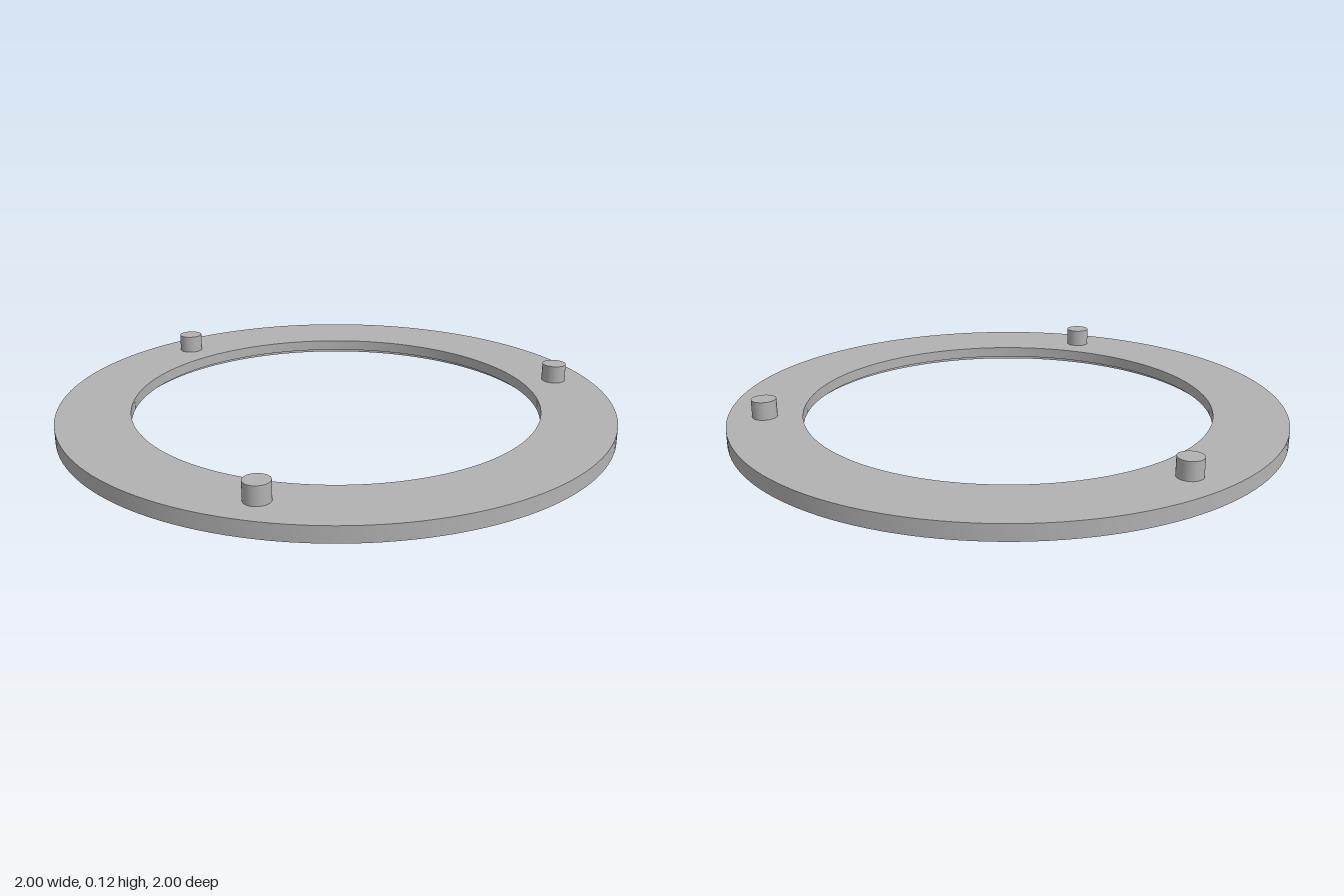
import * as THREE from 'three';
import { toCreasedNormals } from 'three/addons/utils/BufferGeometryUtils.js';

export function createModel() {
  const model = new THREE.Group();
  model.name = 'groovedRing';
  const grey = new THREE.MeshStandardMaterial({ color: 0xb2b2b2 });
  grey.name = 'grey';

  const inner = 0.738, outer = 1, height = 0.055;
  const grooves = 6, pitch = 0.036, width = 0.022, depth = 0.015;

  // Cross-section: underside from the hole outwards, then up and back over the top
  const profile = [[inner, depth]];
  for (let i = 0; i < grooves; i++) {
    const edge = 0.76 + i * pitch;
    if (i > 0) profile.push([edge - width, 0], [edge - width, depth]);
    profile.push([edge, depth], [edge, 0]);
  }
  profile.push([outer, 0], [outer, height], [inner, height], [inner, depth]);

  // Flat ring with concentric grooves below
  const ringGeometry = new THREE.LatheGeometry(profile.map(([r, y]) => new THREE.Vector2(r, y)), 144);
  const ring = new THREE.Mesh(toCreasedNormals(ringGeometry, 0.6), grey);
  ring.name = 'ring';
  model.add(ring);

  // Three locating pegs, evenly spaced on the top face
  const pegBase = 0.05, pegTop = 0.12;
  const pegGeometry = new THREE.CylinderGeometry(0.044, 0.044, pegTop - pegBase, 40);
  for (let i = 0; i < 3; i++) {
    const angle = (i * Math.PI * 2) / 3;
    const peg = new THREE.Mesh(pegGeometry, grey);
    peg.name = 'peg' + (i + 1);
    peg.position.set(0.87 * Math.cos(angle), (pegBase + pegTop) / 2, 0.87 * Math.sin(angle));
    model.add(peg);
  }
  return model;
}
